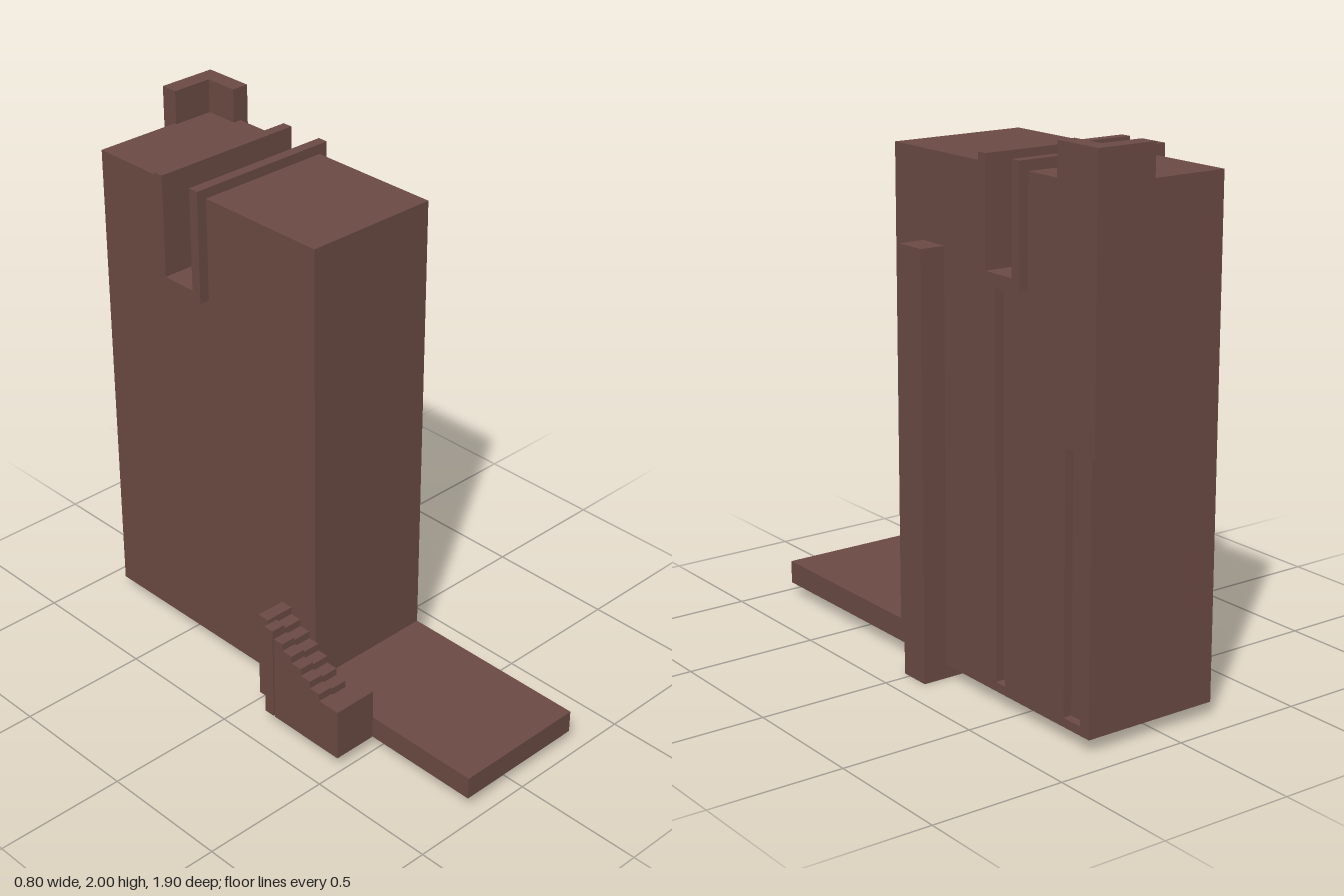
import * as THREE from 'three';

export function createModel() {
  const model = new THREE.Group();
  const material = new THREE.MeshStandardMaterial({ color: 0x6b4a43, flatShading: true });

  function add(name, geometry, parent = model) {
    const mesh = new THREE.Mesh(geometry, material);
    mesh.name = name;
    parent.add(mesh);
    return mesh;
  }

  // Box given by its extents on each axis
  function box(name, [x0, x1], [y0, y1], [z0, z1], parent) {
    const g = new THREE.BoxGeometry(x1 - x0, y1 - y0, z1 - z0);
    g.translate((x0 + x1) / 2, (y0 + y1) / 2, (z0 + z1) / 2);
    return add(name, g, parent);
  }

  // Side profile of [z, y] points, extruded from x0 to x1
  function prism(name, points, x0, x1, holes = [], parent) {
    const flip = (list) => list.map(([z, y]) => new THREE.Vector2(-z, y));
    const shape = new THREE.Shape(flip(points));
    for (const h of holes) shape.holes.push(new THREE.Path(flip(h)));
    const g = new THREE.ExtrudeGeometry(shape, { depth: x1 - x0, bevelEnabled: false });
    g.rotateY(Math.PI / 2);
    g.translate(x0, 0, 0);
    return add(name, g, parent);
  }

  const rect = (z0, z1, y0, y1) => [[z0, y0], [z1, y0], [z1, y1], [z0, y1]];

  // Tower with foot slab and a notch through its top; the outer skin holds the wall grooves
  const profile = [
    [0.95, 0.05], [-0.89, 0.05], [-0.89, 1.873], [-0.535, 1.873], [-0.535, 1.505],
    [-0.355, 1.505], [-0.355, 1.873], [0.193, 1.873], [0.193, 0.137], [0.95, 0.137],
  ];
  const grooves = [rect(-0.435, -0.383, 0.083, 1.465), rect(-0.843, -0.757, 0.083, 1.03)];
  prism('towerCore', profile, -0.226, 0.27);
  prism('towerGroovedWall', profile, 0.27, 0.302, grooves);

  // U-shaped channel lining the notch
  prism('roofChannel', [
    [-0.335, 1.487], [-0.556, 1.487], [-0.556, 1.91], [-0.516, 1.91],
    [-0.516, 1.525], [-0.375, 1.525], [-0.375, 1.91], [-0.335, 1.91],
  ], -0.265, 0.337);

  // Side column, carried under the tower
  box('sideColumn', [0.205, 0.397], [0, 1.557], [-0.092, 0.031]);

  // L-shaped guard wrapped around the back corner
  const corner = new THREE.Shape([
    [0.11, 0.947], [0.11, 0.88], [0.27, 0.88], [0.27, 0.748], [0.337, 0.748], [0.337, 0.947],
  ].map(([x, d]) => new THREE.Vector2(x, d)));
  const cornerGeometry = new THREE.ExtrudeGeometry(corner, { depth: 0.975, bevelEnabled: false });
  cornerGeometry.rotateX(-Math.PI / 2);
  cornerGeometry.translate(0, 1.025, 0);
  add('cornerGuard', cornerGeometry);

  // Stairs with a stepped parapet and a front wall
  const stairs = new THREE.Group();
  stairs.name = 'stairs';
  model.add(stairs);
  const run = 0.0467, rise = 0.029, floor = 0.05;

  function stepped(zFront, zBack, firstTop, count, firstRun) {
    const pts = [[zBack, floor], [zFront, floor]];
    let z = zFront;
    for (let i = 0; i < count; i++) {
      const y = firstTop + i * rise;
      pts.push([z, y]);
      z = i === count - 1 ? zBack : z - (i === 0 ? firstRun : run);
      pts.push([z, y]);
    }
    return pts;
  }

  prism('steps', stepped(0.442, 0.02, 0.165, 9, run), -0.341, -0.226, [], stairs);
  prism('parapet', stepped(0.487, 0.165, 0.252, 6, 0.092), -0.4, -0.341, [], stairs);
  box('parapetPost', [-0.4, -0.341], [floor, 0.425], [0.114, 0.157], stairs);
  box('stairFrontWall', [-0.341, -0.226], [floor, 0.252], [0.442, 0.487], stairs);

  return model;
}
